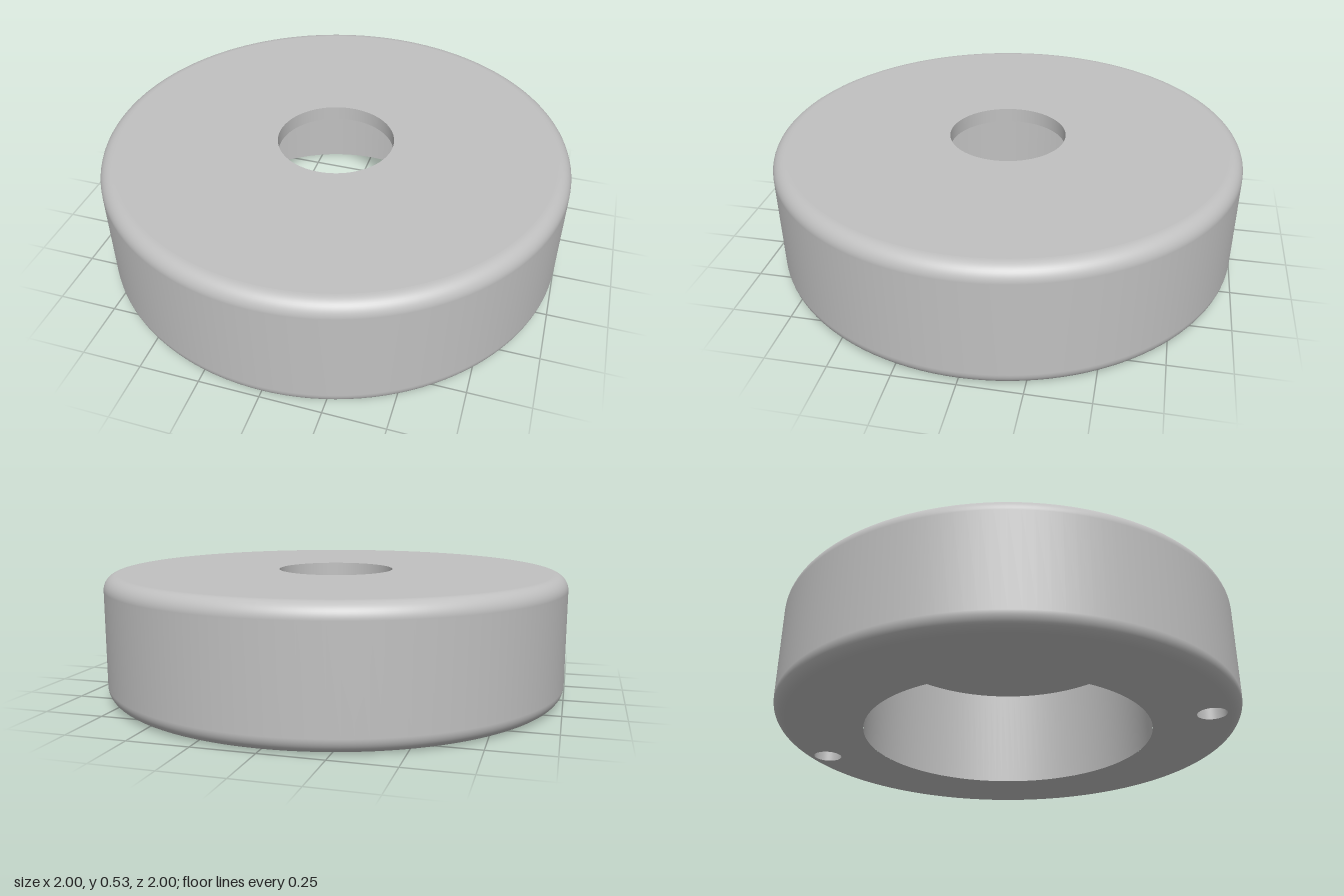
import * as THREE from 'three';

const HEIGHT = 0.53;      // overall height
const FILLET = 0.0625;    // rounded outer edges
const BORE = 0.625;       // wide recess underneath
const HOLE = 0.25;        // through hole in the top plate
const CEILING = 0.468;    // underside of the top plate
const PIN = 0.0625;       // pin hole radius
const PIN_Z = 0.875;      // pin hole distance from the centre
const SEGMENTS = 128;

export function createModel() {
  const model = new THREE.Group();
  model.name = 'ring';
  const steel = new THREE.MeshStandardMaterial({ color: 0xc0c0c0 });
  steel.name = 'grey steel';

  const add = (name, geometry, x = 0, y = 0, z = 0) => {
    const mesh = new THREE.Mesh(geometry, steel);
    mesh.name = name;
    mesh.position.set(x, y, z);
    model.add(mesh);
  };
  // Each smooth surface is its own lathe, so the edges between them stay sharp.
  const turn = (points, segments = SEGMENTS) =>
    new THREE.LatheGeometry(points.map(([r, y]) => new THREE.Vector2(r, y)), segments);

  // Outer wall with rounded bottom and top edges
  const profile = [];
  const arc = (cy, from) => {
    for (let i = 0; i <= 12; i++) {
      const a = from + (i / 12) * Math.PI / 2;
      profile.push([1 - FILLET + FILLET * Math.cos(a), cy + FILLET * Math.sin(a)]);
    }
  };
  arc(FILLET, -Math.PI / 2);
  arc(HEIGHT - FILLET, 0);
  add('outerWall', turn(profile));

  // Top plate and the recess below it
  add('topFace', turn([[1 - FILLET, HEIGHT], [HOLE, HEIGHT]]));
  add('centreHoleWall', turn([[HOLE, HEIGHT], [HOLE, CEILING]]));
  add('recessCeiling', turn([[HOLE, CEILING], [BORE, CEILING]]));
  add('recessWall', turn([[BORE, CEILING], [BORE, 0]]));

  // Bottom face, pierced by the recess and two pin holes
  const bottom = new THREE.Shape().absarc(0, 0, 1 - FILLET, 0, Math.PI * 2);
  const pierce = (y, r) =>
    bottom.holes.push(new THREE.Path().absarc(0, y, r, 0, Math.PI * 2, true));
  pierce(0, BORE);
  // Keep a hair of material between the pin holes and the rounded edge
  for (const side of [-1, 1]) pierce(side * PIN_Z, PIN - 0.001);
  add('bottomFace', new THREE.ShapeGeometry(bottom, SEGMENTS).rotateX(Math.PI / 2));

  // Blind pin holes, front one shallower
  for (const [name, z, depth] of [['frontPinHole', PIN_Z, 0.0625], ['backPinHole', -PIN_Z, 0.2]]) {
    add(name + 'Wall', turn([[PIN, depth], [PIN, 0]], 48), 0, 0, z);
    add(name + 'End', new THREE.CircleGeometry(PIN, 48).rotateX(Math.PI / 2), 0, depth, z);
  }
  return model;
}
